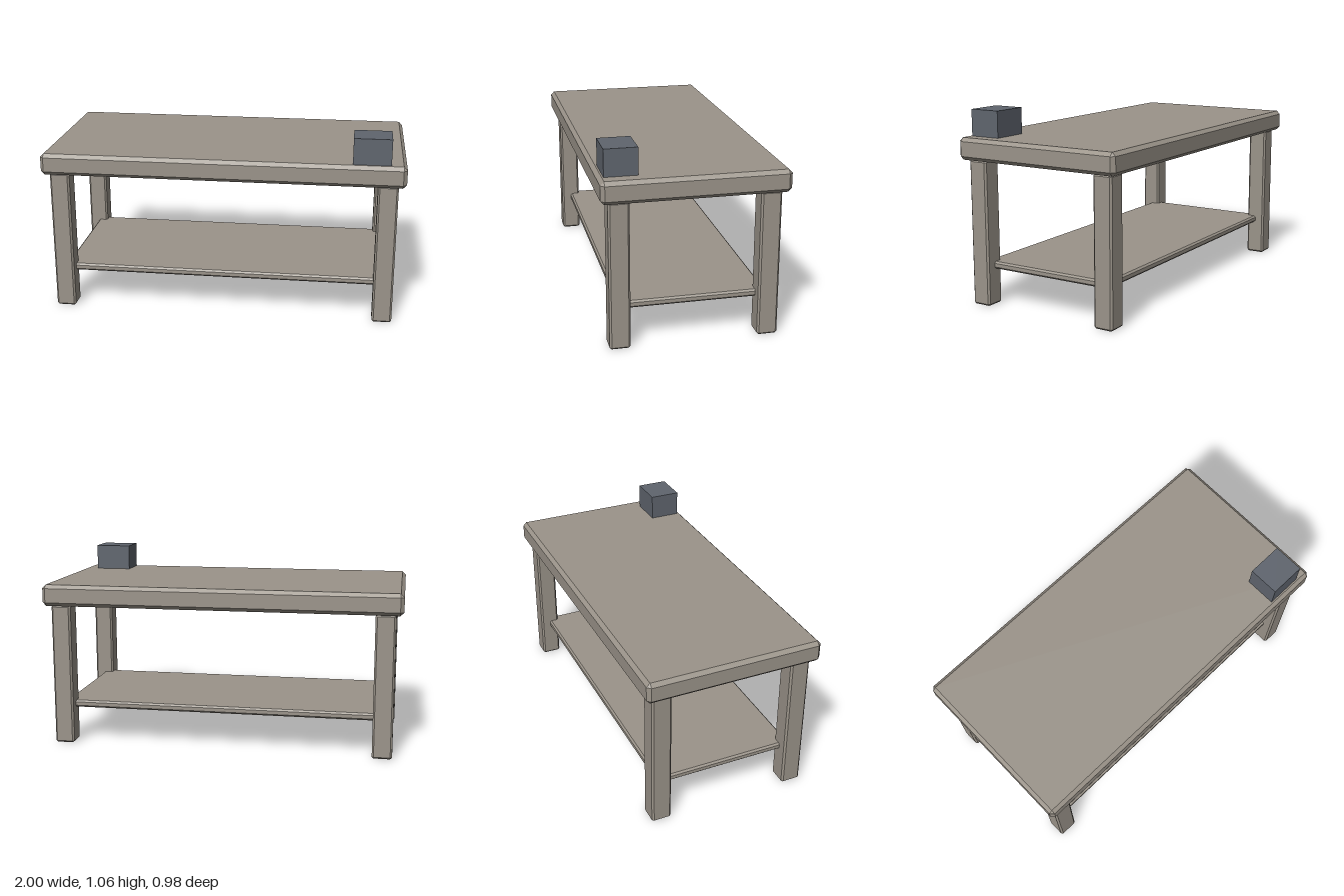
import * as THREE from 'three';
import { ConvexGeometry } from 'three/addons/geometries/ConvexGeometry.js';

// Box with flat chamfers on every edge: three corner points per octant
function chamferBox(w, h, d, c) {
  const points = [];
  for (const sx of [-1, 1]) for (const sy of [-1, 1]) for (const sz of [-1, 1]) {
    const x = w / 2, y = h / 2, z = d / 2;
    points.push(
      new THREE.Vector3(sx * x, sy * (y - c), sz * (z - c)),
      new THREE.Vector3(sx * (x - c), sy * y, sz * (z - c)),
      new THREE.Vector3(sx * (x - c), sy * (y - c), sz * z),
    );
  }
  return new ConvexGeometry(points);
}

export function createModel() {
  const model = new THREE.Group();
  model.name = 'table';
  const wood = new THREE.MeshStandardMaterial({ color: 0x9b948a, flatShading: true });
  const slate = new THREE.MeshStandardMaterial({ color: 0x5f656e, flatShading: true });

  const add = (name, geometry, material, x, y, z) => {
    const mesh = new THREE.Mesh(geometry, material);
    mesh.name = name;
    mesh.position.set(x, y, z);
    model.add(mesh);
  };

  // Thick top slab
  add('tableTop', chamferBox(2, 0.12, 0.98, 0.02), wood, 0, 0.86, 0);

  // Four square legs
  const legX = 0.905, legZ = 0.395;
  const legGeometry = chamferBox(0.11, 0.8, 0.11, 0.01);
  for (const sx of [-1, 1]) for (const sz of [-1, 1]) {
    const name = (sz > 0 ? 'front' : 'back') + (sx > 0 ? 'Left' : 'Right') + 'Leg';
    add(name, legGeometry, wood, sx * legX, 0.4, sz * legZ);
  }

  // Lower shelf, let into the legs as far as their centres
  add('lowerShelf', chamferBox(legX * 2, 0.04, legZ * 2, 0.01), wood, 0, 0.22, 0);

  // Small plain block standing on the top
  add('block', new THREE.BoxGeometry(0.204, 0.144, 0.175), slate, 0.813, 0.992, 0.374);

  return model;
}
